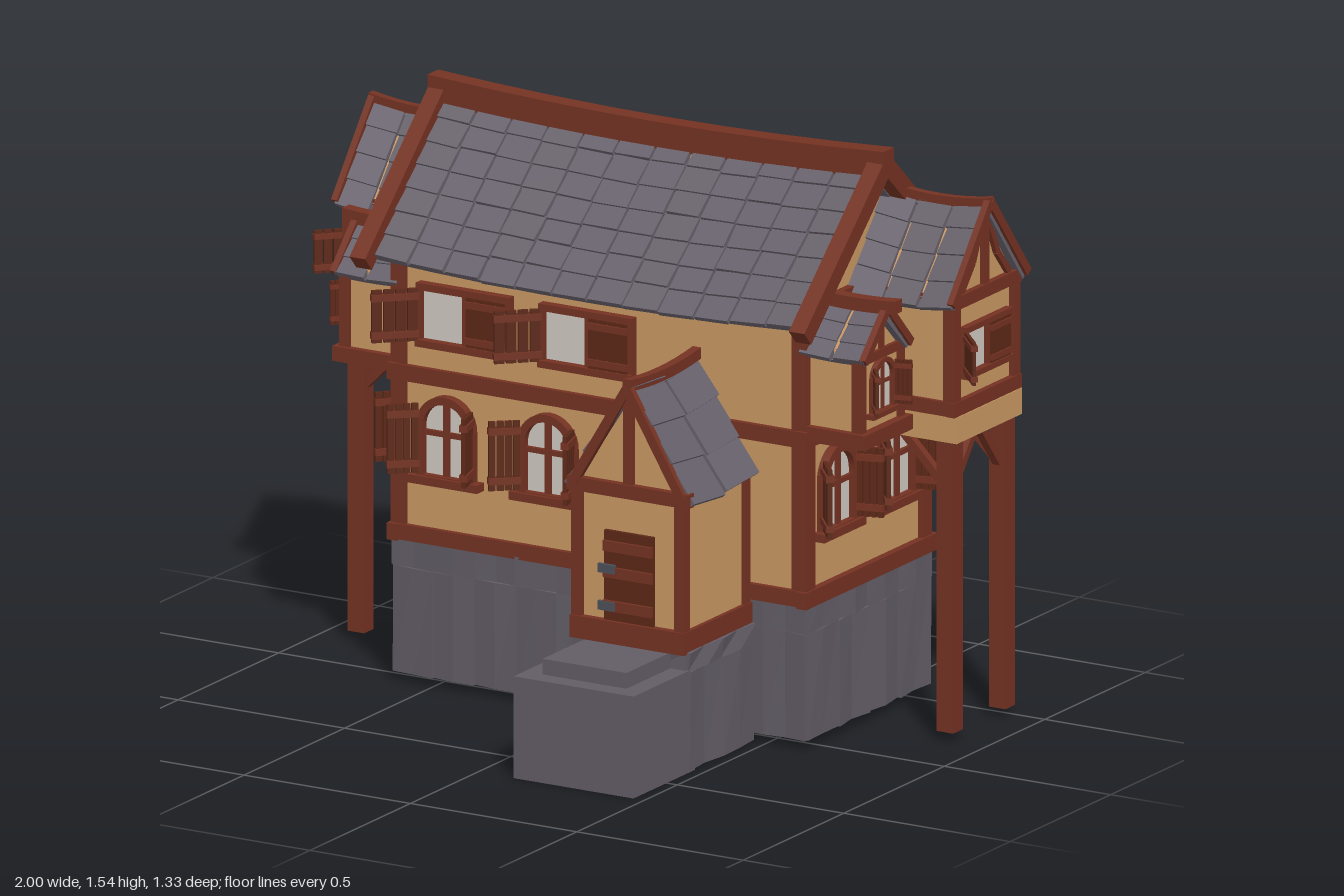
import * as THREE from 'three';
import { mergeGeometries } from 'three/addons/utils/BufferGeometryUtils.js';

const material = (name, color) => {
  const m = new THREE.MeshStandardMaterial({ color });
  m.name = name;
  return m;
};
const plaster = material('plaster', 0xc99762);
const wood = material('wood', 0x743222);
const darkWood = material('dark wood', 0x5c2817);
const slate = material('slate', 0x67616b);
const stone = material('stone', 0x625c65);
const pane = material('window pane', 0xcfc8c0);
const iron = material('iron', 0x4c5058);

let seed = 7;
const rand = () => ((seed = (seed * 16807) % 2147483647) / 2147483647) - 0.5;

function add(parent, name, geometry, mat) {
  const mesh = new THREE.Mesh(geometry, mat);
  mesh.name = name;
  parent.add(mesh);
  return mesh;
}
function group(parent, name, x = 0, y = 0, z = 0, ry = 0, s = 1) {
  const g = new THREE.Group();
  g.name = name;
  g.position.set(x, y, z);
  g.rotation.y = ry;
  g.scale.setScalar(s);
  parent.add(g);
  return g;
}
// Box given by its ranges
function box(parent, name, mat, x0, x1, y0, y1, z0, z1) {
  const m = add(parent, name, new THREE.BoxGeometry(x1 - x0, y1 - y0, z1 - z0), mat);
  m.position.set((x0 + x1) / 2, (y0 + y1) / 2, (z0 + z1) / 2);
  return m;
}
// Beam between two points
function beam(parent, name, p, q, w, d, mat = wood) {
  const a = new THREE.Vector3(...p), b = new THREE.Vector3(...q);
  const m = add(parent, name, new THREE.BoxGeometry(w, a.distanceTo(b), d), mat);
  m.position.copy(a).add(b).multiplyScalar(0.5);
  m.quaternion.setFromUnitVectors(new THREE.Vector3(0, 1, 0), b.sub(a).normalize());
  return m;
}
// Triangular plaster prism with its ridge along x
function gable(parent, x0, x1, half, y0, y1, z) {
  const s = new THREE.Shape([[-half, 0], [half, 0], [0, y1 - y0]].map(p => new THREE.Vector2(...p)));
  const geo = new THREE.ExtrudeGeometry(s, { depth: x1 - x0, bevelEnabled: false }).rotateY(Math.PI / 2);
  add(parent, 'gable', geo, plaster).position.set(x0, y0, z);
}

// Sagging tiled roof with its ridge along x, centred on its own origin
function roof(parent, name, { length, half, ridge, eave, rows, cols, sag, cap }) {
  const g = group(parent, name);
  const drop = ridge - eave, slope = Math.hypot(half, drop), angle = Math.atan2(drop, half);
  const bend = geo => {
    const p = geo.attributes.position;
    for (let i = 0; i < p.count; i++) p.setY(i, p.getY(i) - sag * (1 - (2 * p.getX(i) / length) ** 2));
    geo.computeVertexNormals();
    return geo;
  };
  const parts = [];
  for (const turn of [0, Math.PI]) {
    const put = (geo, x, t, tilt) => parts.push(geo.rotateX(angle - tilt)
      .translate(x, ridge - t * drop, t * half).rotateY(turn).toNonIndexed());
    put(new THREE.BoxGeometry(length - 0.01, 0.012, slope * 0.98, 8).translate(0, -0.012, 0), 0, 0.5, 0);
    const w = length / cols, l = slope / rows;
    for (let r = 0; r < rows; r++) for (let c = 0; c < cols; c++)
      put(new THREE.BoxGeometry(w * (0.93 + rand() * 0.08), 0.014, l * (1.04 + rand() * 0.1)).rotateY(rand() * 0.05),
        (c + 0.5) * w - length / 2, (r + 0.5 + rand() * 0.08) / rows, 0.09 + rand() * 0.04);
  }
  add(g, 'tiles', bend(mergeGeometries(parts)), slate);
  const [w, h, over, y] = cap;
  add(g, 'ridgeBeam', bend(new THREE.BoxGeometry(length + over, h, w, 8).toNonIndexed().translate(0, y, 0)), wood);
  return g;
}
// Pair of sloping boards on a gable end facing x
function bargeboards(parent, x, z, half, top, bottom, w, d) {
  for (const s of [-1, 1]) beam(parent, 'bargeboard', [x, top, z], [x, bottom, z + s * half], w, d);
}

// Plank shutter hinged at its left edge
function shutter(parent, w, h, x, y, angle) {
  const g = group(parent, 'shutter', x, y, 0.02, angle);
  const n = 4;
  for (let i = 0; i < n; i++)
    box(g, 'plank', darkWood, (i + 0.08) * w / n, (i + 0.92) * w / n, -h / 2, h / 2, -0.006, 0.006);
  for (const s of [-1, 1]) box(g, 'rail', wood, 0, w, s * h * 0.36 - 0.009, s * h * 0.36 + 0.009, -0.011, 0.011);
}
function squareWindow(parent, x, y, z, ry = 0, s = 1) {
  const g = group(parent, 'squareWindow', x, y, z, ry, s);
  box(g, 'pane', pane, -0.13, 0.01, -0.07, 0.07, 0, 0.006);
  box(g, 'lintel', wood, -0.14, 0.14, 0.066, 0.085, 0, 0.025);
  box(g, 'sill', wood, -0.14, 0.14, -0.085, -0.066, 0, 0.03);
  for (const a of [-0.14, -0.004, 0.126]) box(g, 'jamb', wood, a, a + 0.014, -0.07, 0.07, 0, 0.02);
  shutter(g, 0.12, 0.135, 0.008, 0, 0);
  shutter(g, 0.125, 0.14, -0.135, 0, Math.PI + 0.75);
}
function archShape(r, bottom) {
  const s = new THREE.Shape();
  s.moveTo(-r, bottom);
  s.lineTo(r, bottom);
  s.absarc(0, 0.035, r, 0, Math.PI, false);
  s.closePath();
  return s;
}
function archedWindow(parent, x, y, z, ry = 0, s = 1) {
  const g = group(parent, 'archedWindow', x, y, z, ry, s);
  const frame = archShape(0.085, -0.11);
  frame.holes.push(archShape(0.064, -0.095));
  add(g, 'frame', new THREE.ExtrudeGeometry(frame, { depth: 0.025, bevelEnabled: false, curveSegments: 8 }), wood);
  add(g, 'pane', new THREE.ExtrudeGeometry(archShape(0.066, -0.1), { depth: 0.006, bevelEnabled: false, curveSegments: 8 }), pane);
  box(g, 'mullion', wood, -0.008, 0.008, -0.1, 0.098, 0, 0.016);
  box(g, 'crossbar', wood, -0.066, 0.066, 0.01, 0.024, 0, 0.016);
  box(g, 'sill', wood, -0.105, 0.105, -0.12, -0.098, 0, 0.035);
  shutter(g, 0.085, 0.185, -0.078, 0, Math.PI + 0.7);
  shutter(g, 0.075, 0.185, 0.078, 0, -1.3);
}

// Rough stone wall: a course of tall slabs below a course of short ones
function stoneWall(parent, length, x, z, ry, y0, split, y1, step) {
  const parts = [], n = Math.round(length / step), w = length / n;
  for (const [a, b] of [[y0, split], [split, y1]]) for (let i = 0; i < n; i++) {
    const geo = new THREE.BoxGeometry(w, b - a, 0.03, 2, 1, 1);
    const p = geo.attributes.position;
    const k = rand() * 90;
    for (let v = 0; v < p.count; v++) {
      const hash = Math.sin(p.getX(v) * 127 + p.getY(v) * 311 + p.getZ(v) * 74 + k);
      p.setZ(v, p.getZ(v) + hash * 0.006);
    }
    parts.push(geo.translate((i + 0.5) * w - length / 2, (a + b) / 2, 0).toNonIndexed());
  }
  const geo = mergeGeometries(parts);
  geo.computeVertexNormals();
  const m = add(parent, 'stoneWall', geo, stone);
  m.position.set(x, 0, z);
  m.rotation.y = ry;
}

// Everything on the model's left end
function buildEnd() {
  const g = new THREE.Group();
  g.name = 'leftEnd';
  for (const [y0, y1] of [[0.385, 0.43], [0.815, 0.86]]) box(g, 'endBeam', wood, 0.6, 0.63, y0, y1, -0.58, 0.075);
  for (const z of [-0.56, 0.02]) box(g, 'cornerPost', wood, 0.58, 0.625, 0.4, 1.2, z, z + 0.045);
  box(g, 'tieBeam', wood, 0.6, 0.63, 1.155, 1.195, -0.56, 0.07);
  bargeboards(g, 0.66, -0.245, 0.4, 1.505, 1.14, 0.047, 0.05);
  for (const z of [-0.097, -0.39]) archedWindow(g, 0.61, 0.67, z, Math.PI / 2);

  // Jetty on posts
  const j = group(g, 'jetty');
  box(j, 'jettyFloor', plaster, 0.6, 0.925, 0.81, 0.88, -0.51, -0.185);
  box(j, 'jettyWalls', plaster, 0.6, 0.905, 0.88, 1.2, -0.5, -0.195);
  gable(j, 0.6, 0.905, 0.165, 1.19, 1.39, -0.347);
  for (const [y0, y1] of [[0.88, 0.918], [1.165, 1.2]]) {
    box(j, 'frontBeam', wood, 0.895, 0.922, y0, y1, -0.515, -0.18);
    for (const z of [-0.512, -0.203]) box(j, 'sideBeam', wood, 0.62, 0.92, y0, y1, z, z + 0.02);
  }
  for (const z of [-0.512, -0.215]) box(j, 'jettyPost', wood, 0.885, 0.92, 0.88, 1.2, z, z + 0.032);
  box(j, 'kingPost', wood, 0.9, 0.918, 1.19, 1.38, -0.36, -0.334);
  for (const s of [-1, 1]) {
    beam(j, 'gableBrace', [0.91, 1.2, -0.347 + s * 0.12], [0.91, 1.27, -0.347 + s * 0.06], 0.014, 0.018);
    beam(j, 'gableBrace', [0.91, 1.27, -0.347 + s * 0.06], [0.91, 1.37, -0.347 + s * 0.015], 0.014, 0.018);
    const z = -0.347 + s * 0.13;
    box(j, 'leg', wood, 0.86, 0.91, 0.03, 0.82, z - 0.024, z + 0.024);
    beam(j, 'sideBrace', [0.87, 0.69, z], [0.745, 0.815, z], 0.022, 0.022);
    beam(j, 'frontBrace', [0.885, 0.69, z - s * 0.02], [0.885, 0.815, z - s * 0.12], 0.022, 0.022);
  }
  bargeboards(j, 0.925, -0.347, 0.187, 1.42, 1.185, 0.018, 0.025);
  roof(j, 'jettyRoof', { length: 0.32, half: 0.185, ridge: 1.415, eave: 1.18, rows: 4, cols: 3, sag: 0.015,
    cap: [0.022, 0.025, 0.005, 1.42] }).position.set(0.77, 0, -0.347);
  squareWindow(j, 0.907, 1.04, -0.347, Math.PI / 2, 0.82);

  // Small bay
  const b = group(g, 'bay');
  box(b, 'bayWalls', plaster, 0.6, 0.775, 0.85, 1.09, -0.15, 0.045);
  gable(b, 0.6, 0.775, 0.1, 1.085, 1.175, -0.053);
  box(b, 'bayFloorBeam', wood, 0.6, 0.8, 0.835, 0.875, -0.175, 0.065);
  box(b, 'bayTieBeam', wood, 0.765, 0.785, 1.055, 1.08, -0.16, 0.055);
  box(b, 'bayKingPost', wood, 0.77, 0.783, 1.07, 1.17, -0.063, -0.043);
  for (const z of [-0.16, 0.03]) box(b, 'bayPost', wood, 0.755, 0.785, 0.86, 1.08, z, z + 0.025);
  bargeboards(b, 0.795, -0.053, 0.115, 1.19, 1.07, 0.018, 0.022);
  roof(b, 'bayRoof', { length: 0.2, half: 0.115, ridge: 1.18, eave: 1.07, rows: 3, cols: 2, sag: 0.004,
    cap: [0.035, 0.035, 0.06, 1.195] }).position.set(0.7, 0, -0.053);
  archedWindow(b, 0.775, 0.98, -0.053, Math.PI / 2, 0.64);
  return g;
}
// Mirror a group across x with corrected winding
function mirrored(source, name) {
  const g = new THREE.Group();
  g.name = name;
  source.updateMatrixWorld(true);
  const flip = new THREE.Matrix4().makeScale(-1, 1, 1);
  source.traverse(o => {
    if (!o.isMesh) return;
    const geo = o.geometry.clone().applyMatrix4(flip.clone().multiply(o.matrixWorld));
    const idx = geo.index ? [...geo.index.array] : [...Array(geo.attributes.position.count).keys()];
    for (let i = 0; i < idx.length; i += 3) [idx[i], idx[i + 1]] = [idx[i + 1], idx[i]];
    geo.setIndex(idx);
    add(g, o.name, geo, o.material);
  });
  return g;
}

function buildPorch(parent) {
  const g = group(parent, 'porch');
  box(g, 'porchWalls', plaster, 0.13, 0.45, 0.33, 0.74, 0.04, 0.385);
  for (const x of [0.125, 0.455]) stoneWall(g, 0.33, x, 0.225, x < 0.29 ? -Math.PI / 2 : Math.PI / 2, 0.01, 0.275, 0.325, 0.17);
  stoneWall(g, 0.34, 0.29, 0.38, 0, 0.01, 0.275, 0.325, 0.17);
  box(g, 'porchSill', wood, 0.118, 0.462, 0.32, 0.38, 0.06, 0.405);
  for (const x of [0.12, 0.43]) for (const z of [0.07, 0.372])
    box(g, 'porchPost', wood, x, x + 0.03, 0.37, 0.74, z, z + 0.028);
  box(g, 'porchTieBeam', wood, 0.11, 0.475, 0.715, 0.752, 0.375, 0.405);
  for (const x of [0.12, 0.44]) box(g, 'porchPlate', wood, x, x + 0.02, 0.715, 0.74, 0.06, 0.39);
  const r = group(g, 'porchTop', 0.29, 0, 0.23, -Math.PI / 2);
  gable(r, -0.18, 0.155, 0.16, 0.735, 0.995, 0);
  roof(r, 'porchRoof', { length: 0.34, half: 0.185, ridge: 1.015, eave: 0.725, rows: 3, cols: 2, sag: 0.012,
    cap: [0.025, 0.03, 0.01, 1.02] });
  bargeboards(r, 0.168, 0, 0.165, 1.01, 0.735, 0.018, 0.026);
  box(r, 'porchKingPost', wood, 0.15, 0.17, 0.74, 0.99, -0.013, 0.013);
  // Door
  for (let i = 0; i < 3; i++) box(g, 'doorPlank', darkWood, 0.217 + i * 0.05, 0.264 + i * 0.05, 0.375, 0.62, 0.38, 0.396);
  for (const y of [0.42, 0.51, 0.58]) box(g, 'doorRail', wood, 0.217, 0.364, y - 0.014, y + 0.014, 0.39, 0.404);
  for (const y of [0.42, 0.52]) box(g, 'hinge', iron, 0.205, 0.255, y - 0.012, y + 0.012, 0.4, 0.409);
  // Steps
  box(g, 'lowerStep', stone, 0.108, 0.468, 0.005, 0.278, 0.36, 0.665);
  box(g, 'upperStep', stone, 0.163, 0.415, 0.278, 0.32, 0.36, 0.612);
}

export function createModel() {
  const model = new THREE.Group();
  model.name = 'timberHouse';
  // Main body
  box(model, 'walls', plaster, -0.61, 0.61, 0.37, 1.18, -0.55, 0.055);
  gable(model, -0.61, 0.61, 0.3, 1.18, 1.47, -0.247);
  stoneWall(model, 1.24, 0, 0.05, 0, 0.03, 0.315, 0.395, 0.12);
  stoneWall(model, 1.24, 0, -0.55, Math.PI, 0.03, 0.315, 0.395, 0.12);
  for (const s of [-1, 1]) stoneWall(model, 0.61, s * 0.607, -0.25, s * Math.PI / 2, 0.03, 0.315, 0.395, 0.15);
  for (const z of [-0.573, 0.045]) for (const [y0, y1] of [[0.388, 0.43], [0.815, 0.858]])
    box(model, 'wallBeam', wood, -0.62, 0.62, y0, y1, z, z + 0.025);
  roof(model, 'mainRoof', { length: 1.29, half: 0.365, ridge: 1.495, eave: 1.15, rows: 7, cols: 12, sag: 0.02,
    cap: [0.053, 0.072, 0.08, 1.51] }).position.z = -0.245;
  // Front windows
  for (const x of [-0.455, -0.15]) archedWindow(model, x, 0.672, 0.055);
  for (const x of [-0.4, -0.032]) squareWindow(model, x, 1.003, 0.055);
  const end = buildEnd();
  model.add(end, mirrored(end, 'rightEnd'));
  buildPorch(model);
  return model;
}
